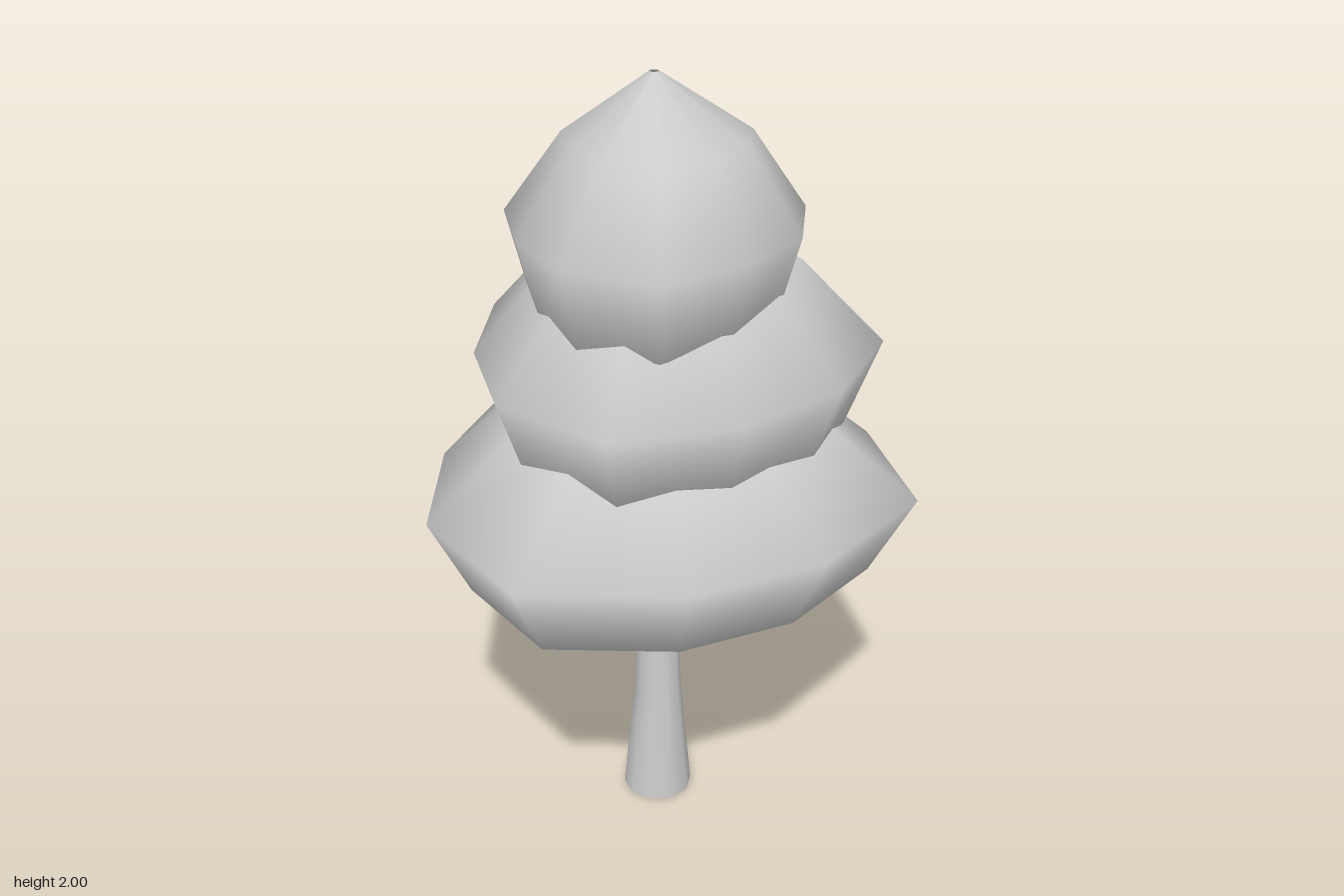
import * as THREE from 'three';

// Smooth open shell: one plan outline [x, z], repeated at each level [y, scale, centreX, centreZ]
function ringShell(outline, levels, material, name) {
  const n = outline.length;
  const mid = [0, 1].map(k => outline.reduce((sum, p) => sum + p[k], 0) / n);
  const positions = [], index = [];
  for (const [y, s, cx = mid[0], cz = mid[1]] of levels) {
    for (const [x, z] of outline) positions.push(cx + (x - mid[0]) * s, y, cz + (z - mid[1]) * s);
  }
  for (let j = 0; j < levels.length - 1; j++) {
    for (let i = 0; i < n; i++) {
      const a = j * n + i, b = j * n + (i + 1) % n;
      index.push(a, a + n, b, b, a + n, b + n);
    }
  }
  const geometry = new THREE.BufferGeometry();
  geometry.setAttribute('position', new THREE.Float32BufferAttribute(positions, 3));
  geometry.setIndex(index);
  geometry.computeVertexNormals();
  const mesh = new THREE.Mesh(geometry, material);
  mesh.name = name;
  return mesh;
}

export function createModel() {
  const group = new THREE.Group();
  group.name = 'tree';
  const grey = new THREE.MeshStandardMaterial({ color: 0xcccccc, side: THREE.DoubleSide });
  grey.name = 'pale grey';

  // Trunk: flared ten-sided tube, open at the foot
  const circle = Array.from({ length: 10 }, (_, i) => {
    const a = i / 10 * Math.PI * 2;
    return [Math.sin(a) * 0.092, 0.03 - Math.cos(a) * 0.092];
  });
  group.add(ringShell(circle, [[0, 1], [0.32, 0.68], [0.63, 0.55], [1.1, 0.45]], grey, 'trunk'));

  // Lower foliage: widest tier, open underneath around the trunk
  group.add(ringShell(
    [[-0.2, -0.58], [0.2, -0.58], [0.455, -0.31], [0.61, 0.03], [0.53, 0.41],
      [0.18, 0.58], [-0.18, 0.58], [-0.53, 0.41], [-0.61, 0.03], [-0.455, -0.31]],
    [[0.63, 0.38], [0.75, 0.83], [0.96, 1], [1.16, 0.62], [1.32, 0.02]],
    grey, 'lowerFoliage'));

  // Middle foliage
  group.add(ringShell(
    [[0.05, -0.53], [0.32, -0.365], [0.51, -0.135], [0.54, 0.19], [0.3, 0.405],
      [0.01, 0.48], [-0.305, 0.43], [-0.46, 0.145], [-0.41, -0.155], [-0.26, -0.43]],
    [[0.97, 0.38], [1.08, 0.84], [1.3, 1], [1.52, 0.61], [1.68, 0.02]],
    grey, 'middleFoliage'));

  // Upper foliage: smallest tier with the pointed tip
  group.add(ringShell(
    [[-0.115, -0.325], [0.105, -0.26], [0.28, -0.135], [0.365, 0.08], [0.25, 0.275],
      [0.06, 0.38], [-0.165, 0.41], [-0.335, 0.245], [-0.355, 0.03], [-0.305, -0.19]],
    [[1.32, 0.4], [1.43, 0.84], [1.64, 1], [1.84, 0.62, -0.01, 0.04], [2, 0.03, -0.02, 0.05]],
    grey, 'upperFoliage'));

  return group;
}
